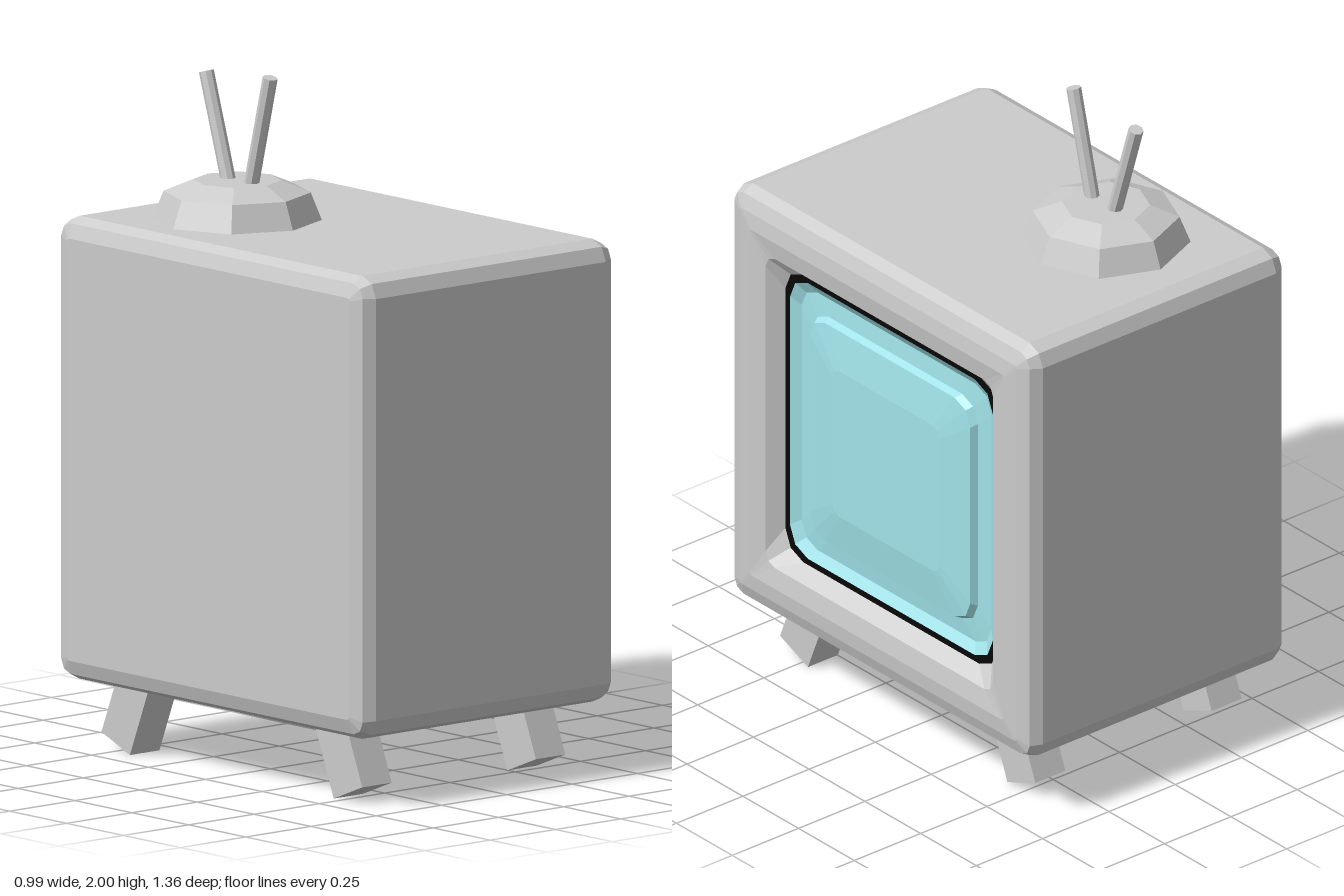
import * as THREE from 'three';

const CENTER_Y = 0.88;
const material = (color) => new THREE.MeshStandardMaterial({ color, flatShading: true });

// Square outline with softened corners, counter-clockwise seen from +x
function ring(x, h, c) {
  const k = c * 0.3;
  const corner = [[h, h - c], [h - k, h - k], [h - c, h]];
  const points = [];
  for (let q = 0; q < 4; q++) {
    for (const [u, v] of corner) {
      const [a, b] = [[u, v], [-v, u], [-u, -v], [v, -u]][q];
      points.push([x, CENTER_Y + b, -a]);
    }
  }
  return points;
}

// Skin over a list of [x, half size, corner cut] sections
function loft(sections) {
  const rings = sections.map((s) => ring(...s));
  const n = rings[0].length;
  const index = [];
  for (let i = 0; i < rings.length - 1; i++) {
    for (let j = 0; j < n; j++) {
      const a = i * n + j, b = i * n + (j + 1) % n;
      index.push(a, b, b + n, a, b + n, a + n);
    }
  }
  const geometry = new THREE.BufferGeometry();
  geometry.setAttribute('position', new THREE.Float32BufferAttribute(rings.flat(2), 3));
  geometry.setIndex(index);
  const flat = geometry.toNonIndexed();
  flat.computeVertexNormals();
  return flat;
}

export function createModel() {
  const group = new THREE.Group();
  const grey = material(0xcccccc);
  const add = (name, geometry, mat = grey) => {
    const mesh = new THREE.Mesh(geometry, mat);
    mesh.name = name;
    group.add(mesh);
    return mesh;
  };

  // Cabinet: bevelled box whose +x face steps in to the screen opening
  add('cabinet', loft([
    [-0.49, 0, 0], [-0.49, 0.62, 0.01], [-0.475, 0.662, 0.04], [-0.44, 0.68, 0.06],
    [0.44, 0.68, 0.06], [0.475, 0.662, 0.04], [0.49, 0.62, 0.01],
    [0.495, 0.57, 0.01], [0.485, 0.51, 0.04], [0.44, 0.475, 0.08],
  ]));

  // Dark surround and domed glass
  add('screenFrame', loft([[0.44, 0.475, 0.08], [0.44, 0.455, 0.08]]), material(0x080808));
  add('screen', loft([
    [0.44, 0.455, 0.08], [0.42, 0.425, 0.07], [0.425, 0.37, 0.07],
    [0.445, 0.36, 0.07], [0.46, 0.24, 0.03], [0.46, 0, 0],
  ]), material(0xa0e2e8));

  // Four splayed legs
  const tilt = THREE.MathUtils.degToRad(22);
  const width = 0.135, length = 0.3;
  for (const x of [-0.36, 0.305]) {
    for (const [side, footZ] of [[1, 0.53], [-1, -0.49]]) {
      const leg = add('leg', new THREE.BoxGeometry(0.113, length, width));
      leg.rotation.x = -side * tilt;
      leg.position.set(
        x,
        (width * Math.sin(tilt) + length * Math.cos(tilt)) / 2,
        footZ - side * Math.sin(tilt) * length / 2,
      );
    }
  }

  // Eight-sided antenna base
  const profile = [[0, 1.55], [0.245, 1.55], [0.245, 1.56], [0.213, 1.64], [0.128, 1.675], [0, 1.675]]
    .map(([r, y]) => new THREE.Vector2(r, y));
  add('antennaBase', new THREE.LatheGeometry(profile, 8)).position.set(-0.13, 0, -0.285);

  // Two rods spreading front to back
  for (const [z0, y1, z1] of [[-0.23, 1.995, -0.14], [-0.315, 1.975, -0.42]]) {
    const from = new THREE.Vector3(-0.13, 1.64, z0);
    const to = new THREE.Vector3(-0.13, y1, z1);
    const dir = to.clone().sub(from);
    const rod = add('antennaRod', new THREE.CylinderGeometry(0.022, 0.022, dir.length(), 8));
    rod.position.copy(from).add(to).multiplyScalar(0.5);
    rod.quaternion.setFromUnitVectors(new THREE.Vector3(0, 1, 0), dir.normalize());
  }
  return group;
}
